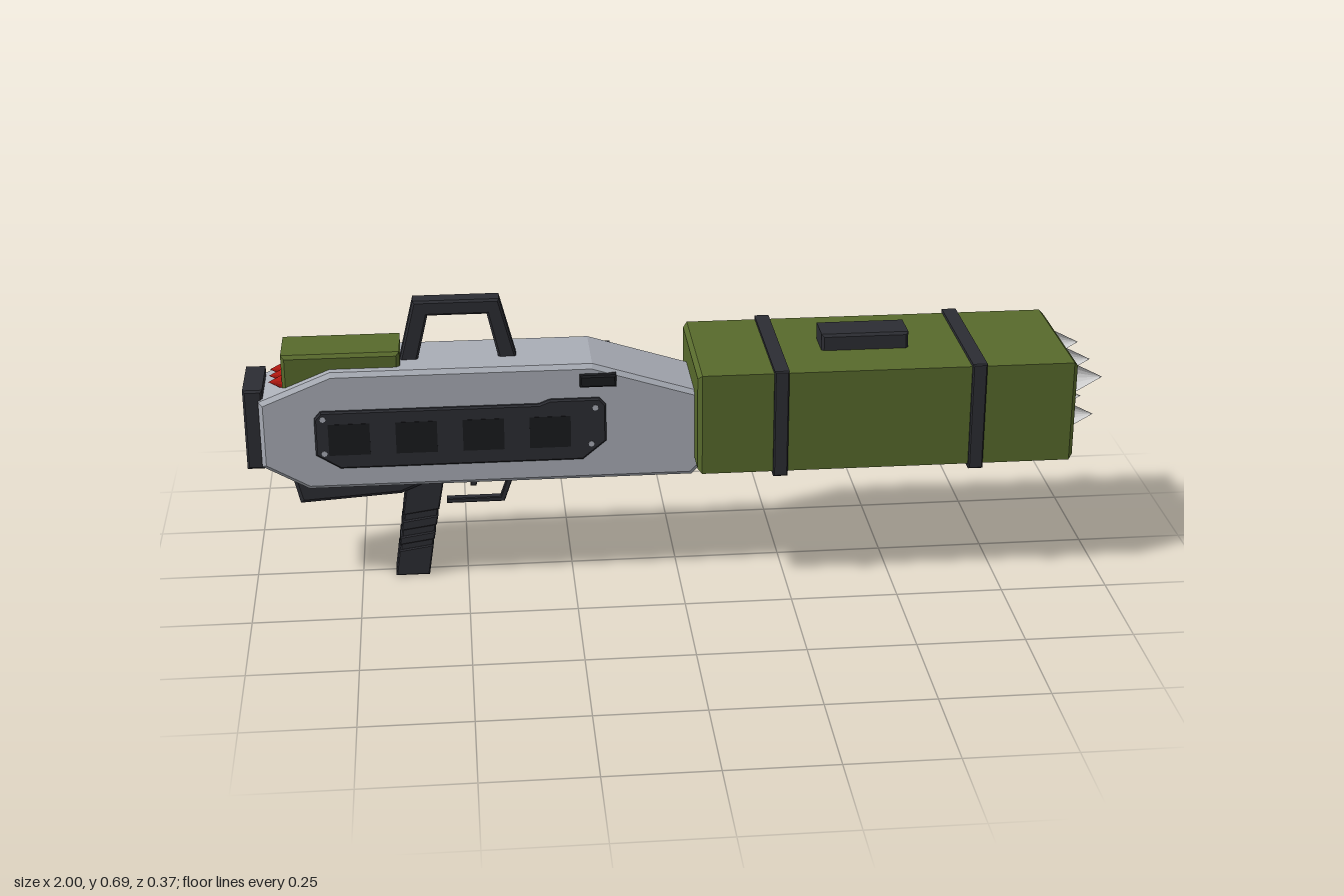
import * as THREE from 'three';

const paint = (color) => new THREE.MeshStandardMaterial({ color, flatShading: true });

// Chamfered extrusion of an x/y outline, centred on z = 0
function slab(points, halfZ, bevel, holes = []) {
  const shape = new THREE.Shape(points.map(([x, y]) => new THREE.Vector2(x, y)));
  for (const [x, y, r] of holes) {
    shape.holes.push(new THREE.Path().absarc(x, y, r, 0, Math.PI * 2, true));
  }
  const geometry = new THREE.ExtrudeGeometry(shape, {
    depth: 2 * (halfZ - bevel), curveSegments: 8, bevelEnabled: bevel > 0,
    bevelThickness: bevel, bevelSize: bevel, bevelOffset: -bevel, bevelSegments: 1,
  });
  return geometry.translate(0, 0, bevel - halfZ);
}

const rect = (x0, x1, y0, y1) => [[x0, y0], [x1, y0], [x1, y1], [x0, y1]];

// Chamfered block given by its limits
const block = (x0, x1, y0, y1, halfZ, bevel) => slab(rect(x0, x1, y0, y1), halfZ, bevel);

export function createModel() {
  const model = new THREE.Group();
  const grey = paint(0xa9adb6), dark = paint(0x2c2d33), black = paint(0x1a1b1e);
  const green = paint(0x586a2c), red = paint(0xb01810), tip = paint(0xcccccc);

  function add(name, geometry, material, x = 0, y = 0, z = 0) {
    const mesh = new THREE.Mesh(geometry, material);
    mesh.name = name;
    mesh.position.set(x, y, z);
    model.add(mesh);
    return mesh;
  }

  // Main body
  add('body', slab([
    [-0.965, 0.32], [-0.86, 0.26], [0.03, 0.26], [0.065, 0.295], [0.065, 0.465],
    [0.03, 0.475], [-0.2, 0.547], [-0.8, 0.547], [-0.965, 0.48],
  ], 0.098, 0.01), grey);
  add('shoulderPad', block(-1, -0.955, 0.31, 0.505, 0.08, 0.005), dark);

  // Launcher pod in two sections that meet under the front strap
  const podHalfZ = 0.178, podY = [0.298, 0.541], joint = 0.687;
  const tubes = [[-0.114, 0.478], [0, 0.478], [0.114, 0.478], [-0.057, 0.36], [0.057, 0.36]];
  const tubeRadius = 0.038;
  const podOutline = rect(-podHalfZ, podHalfZ, ...podY);
  const podSection = (x0, x1, holes) => {
    const geometry = slab(podOutline, (x1 - x0) / 2, 0.01, holes);
    const p = geometry.attributes.position;
    // Keep the tube mouths straight where the chamfer would flare them
    for (let i = 0; i < p.count; i++) {
      for (const [cx, cy] of holes) {
        const dx = p.getX(i) - cx, dy = p.getY(i) - cy, d = Math.hypot(dx, dy);
        if (d < 0.052) p.setXY(i, cx + dx * tubeRadius / d, cy + dy * tubeRadius / d);
      }
    }
    geometry.computeVertexNormals();
    return geometry.rotateY(Math.PI / 2).translate((x0 + x1) / 2, 0, 0);
  };
  add('podRear', podSection(0.036, joint, []), green);
  add('podFront', podSection(joint, 0.92, tubes.map(([z, y]) => [z, y, tubeRadius])), green);
  for (const x of [0.228, joint]) {
    add('podStrap', block(x - 0.017, x + 0.017, 0.288, 0.549, 0.187, 0.003), dark);
  }
  add('podTopPlate', block(0.34, 0.545, 0.53, 0.58, 0.045, 0.006), dark);

  // Launch tubes: dark lining and floor, red warhead, inward-facing grey tip shell
  for (const [z, y] of tubes) {
    const lining = new THREE.CylinderGeometry(0.0375, 0.0375, 0.17, 16, 1, true);
    add('tubeLining', lining.scale(1, 1, -1).rotateZ(-Math.PI / 2), black, 0.834, y, z);
    add('tubeFloor', new THREE.CircleGeometry(0.038, 16).rotateY(Math.PI / 2), black, 0.75, y, z);
    add('warhead', new THREE.ConeGeometry(0.025, 0.07, 12).rotateZ(-Math.PI / 2), red, 0.787, y, z);
    const shell = new THREE.ConeGeometry(0.038, 0.075, 16, 1, true);
    add('tipShell', shell.scale(1, 1, -1).rotateZ(-Math.PI / 2), tip, 0.9575, y, z);
  }

  // Rear rocket box with three small rockets
  add('rearBox', block(-0.91, -0.64, 0.47, 0.582, 0.068, 0.008), green);
  for (const z of [-0.04, 0, 0.04]) {
    add('rearRocket', new THREE.ConeGeometry(0.018, 0.035, 12).rotateZ(Math.PI / 2), red, -0.925, 0.51, z);
  }

  // Carrying handle
  add('carryHandle', slab([
    [-0.642, 0.54], [-0.606, 0.688], [-0.408, 0.688], [-0.37, 0.54],
    [-0.412, 0.54], [-0.437, 0.652], [-0.573, 0.652], [-0.6, 0.54],
  ], 0.024, 0.005), dark);

  // Side panels, mirrored, with recess plates and corner screws
  const panel = [
    [-0.84, 0.35], [-0.785, 0.315], [-0.225, 0.315], [-0.17, 0.36],
    [-0.17, 0.45], [-0.185, 0.467], [-0.3, 0.467], [-0.325, 0.457], [-0.825, 0.457], [-0.84, 0.44],
  ];
  for (const side of [-1, 1]) {
    add('sidePanel', slab(panel, 0.012, 0.004), dark, 0, 0, side * 0.096);
    for (const x of [-0.762, -0.608, -0.454, -0.3]) {
      add('panelPlate', new THREE.BoxGeometry(0.095, 0.077, 0.008), black, x, 0.388, side * 0.105);
    }
    for (const [x, y] of [[-0.82, 0.44], [-0.82, 0.355], [-0.195, 0.445], [-0.205, 0.355]]) {
      add('panelScrew', new THREE.CylinderGeometry(0.007, 0.007, 0.006, 8).rotateX(Math.PI / 2),
        grey, x, y, side * 0.107);
    }
    add('sideCatch', block(-0.23, -0.146, 0.497, 0.526, 0.014, 0.004), black, 0, 0, side * 0.1);
  }
  // Port on the back face only
  add('sidePort', new THREE.BoxGeometry(0.27, 0.042, 0.01), black, -0.405, 0.503, -0.095);

  // Housing under the body
  add('lowerHousing', slab([
    [-0.905, 0.29], [-0.885, 0.205], [-0.65, 0.22], [-0.55, 0.262], [-0.55, 0.29],
  ], 0.055, 0.01), dark);

  // Pistol grip: slim core with wider slabs that leave three grooves
  const edge = (y) => [-0.672 + 0.037 * y / 0.26, -0.592 + 0.047 * y / 0.26];
  const gripSlab = (y0, y1, halfZ, out) => {
    const [a, b] = edge(y0), [c, d] = edge(y1), tilt = 0.012;
    const low = y0 > 0.01 ? tilt : 0;
    return slab([[a - out, y0], [b + out, y0 + low], [d + out, y1 + tilt], [c - out, y1]], halfZ, 0.003);
  };
  add('gripCore', gripSlab(0.004, 0.27, 0.034, -0.003), dark);
  for (const [y0, y1] of [[0, 0.066], [0.08, 0.101], [0.117, 0.142], [0.158, 0.24]]) {
    add('gripSlab', gripSlab(y0, y1, 0.038, 0), dark);
  }

  // Trigger and guard
  add('triggerGuard', slab([
    [-0.545, 0.172], [-0.408, 0.172], [-0.375, 0.265], [-0.388, 0.265],
    [-0.417, 0.184], [-0.545, 0.184],
  ], 0.01, 0.002), dark);
  add('trigger', slab([
    [-0.492, 0.27], [-0.485, 0.235], [-0.488, 0.214], [-0.474, 0.214], [-0.468, 0.235], [-0.47, 0.27],
  ], 0.008, 0.002), dark);

  return model;
}
